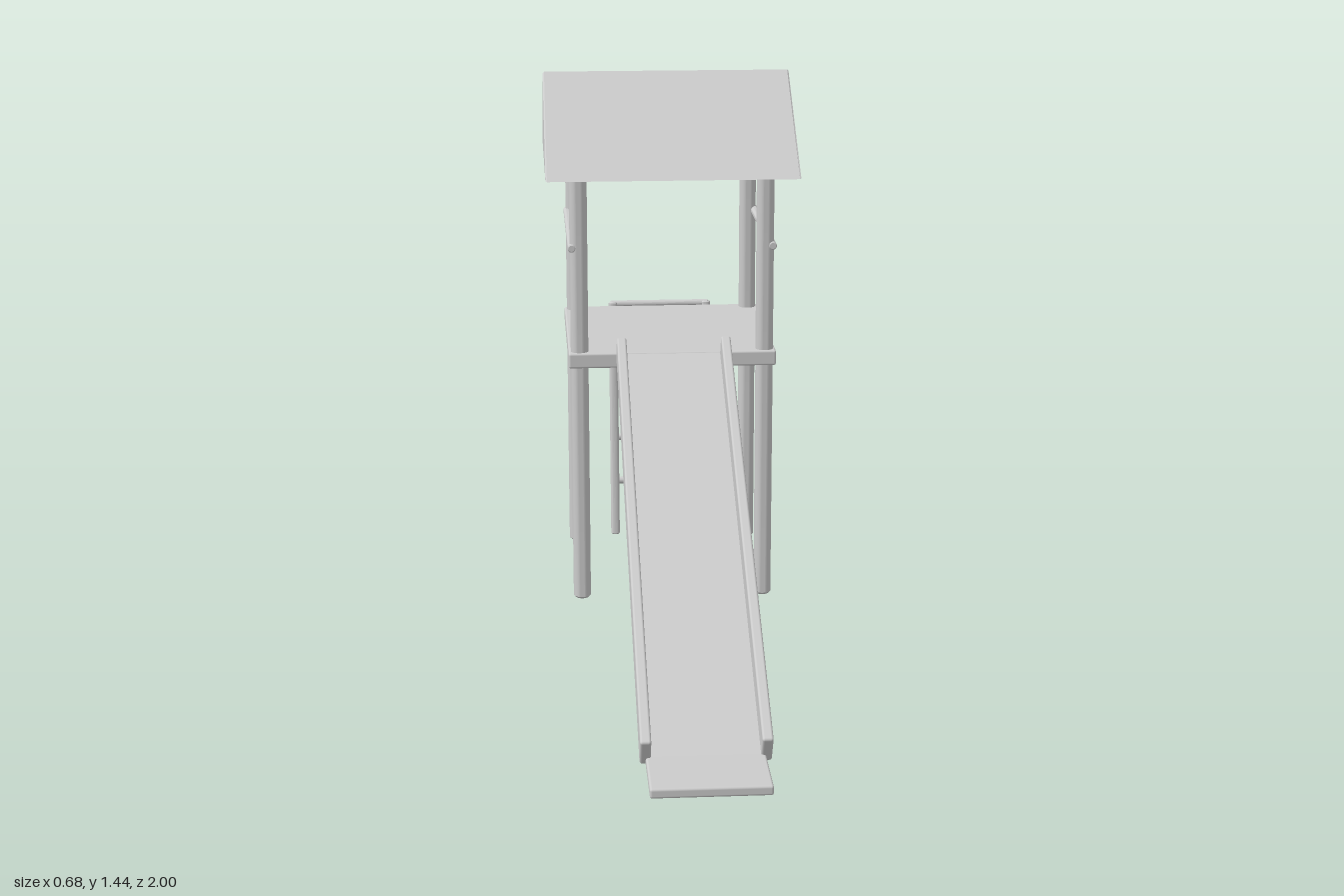
import * as THREE from 'three';
import { toCreasedNormals } from 'three/addons/utils/BufferGeometryUtils.js';
import { RoundedBoxGeometry } from 'three/addons/geometries/RoundedBoxGeometry.js';

const TOWER_Z = -0.645; // centre of the tower
const POST = 0.253; // post offset from the tower centre

export function createModel() {
  const model = new THREE.Group();
  model.name = 'playgroundSlide';
  const grey = new THREE.MeshStandardMaterial({ color: 0xcccccc });
  grey.name = 'lightGrey';

  const add = (name, geometry, parent = model) => {
    const mesh = new THREE.Mesh(geometry, grey);
    mesh.name = name;
    parent.add(mesh);
    return mesh;
  };

  // Softly bevelled board
  const board = (name, size, position, parent) => {
    const mesh = add(name, new RoundedBoxGeometry(...size, 2, 0.006), parent);
    mesh.position.set(...position);
    return mesh;
  };

  // Round bar with chamfered ends, running from point a to point b
  const bar = (name, a, b, r, parent) => {
    const start = new THREE.Vector3(...a);
    const dir = new THREE.Vector3(...b).sub(start);
    const len = dir.length();
    const c = r * 0.25;
    const profile = [[0, 0], [r - c, 0], [r, c], [r, len - c], [r - c, len], [0, len]]
      .map(([x, y]) => new THREE.Vector2(x, y));
    const mesh = add(name, toCreasedNormals(new THREE.LatheGeometry(profile, 24), 0.6), parent);
    mesh.position.copy(start);
    mesh.quaternion.setFromUnitVectors(new THREE.Vector3(0, 1, 0), dir.normalize());
    return mesh;
  };

  // Tower: four posts, deck and two side railings
  for (const s of [-1, 1]) {
    const side = s > 0 ? 'left' : 'right';
    for (const [end, dz] of [['Front', POST], ['Back', -POST]]) {
      const z = TOWER_Z + dz;
      bar(side + end + 'Post', [s * POST, 0, z], [s * POST, 1.2, z], 0.024);
    }
    bar(side + 'Railing', [s * 0.272, 1, TOWER_Z - 0.277], [s * 0.272, 1, TOWER_Z + 0.277], 0.011);
  }
  board('deck', [0.567, 0.042, 0.566], [0, 0.689, TOWER_Z]);

  // Gable roof: triangle extruded across the tower
  const gable = new THREE.Shape();
  gable.moveTo(-0.338, 1.193);
  gable.lineTo(0.338, 1.193);
  gable.lineTo(0, 1.44);
  gable.closePath();
  const roofGeometry = new THREE.ExtrudeGeometry(gable, {
    depth: 0.672, bevelThickness: 0.004, bevelSize: 0.003, bevelOffset: -0.003, bevelSegments: 1,
  });
  roofGeometry.translate(0, 0, -0.336);
  roofGeometry.rotateY(Math.PI / 2);
  add('roof', roofGeometry).position.z = TOWER_Z;

  // Chute: local z runs down the slope, local y = 0 is its underside
  const chute = new THREE.Group();
  chute.name = 'chute';
  const length = 1.354;
  chute.position.set(0, 0.3625, 0.228);
  chute.rotation.x = Math.atan2(0.665, 1.18);
  model.add(chute);
  board('chuteBed', [0.28, 0.02, length], [0, 0.01, 0], chute);
  for (const s of [-1, 1]) {
    board(s > 0 ? 'leftChuteWall' : 'rightChuteWall', [0.026, 0.08, length], [s * 0.141, 0.04, 0], chute);
  }
  board('landingPlate', [0.28, 0.024, 0.22], [0, 0.039, 0.89]);

  // Ladder: leaning rails with rungs hung straight below the top
  const ladder = new THREE.Group();
  ladder.name = 'ladder';
  model.add(ladder);
  for (const s of [-1, 1]) {
    bar(s > 0 ? 'leftLadderRail' : 'rightLadderRail', [s * 0.138, 0.002, -0.926], [s * 0.138, 0.708, -0.986], 0.013, ladder);
  }
  for (let i = 0; i < 5; i++) {
    const y = 0.151 + i * 0.1375;
    bar('rung' + (i + 1), [-0.145, y, -0.989], [0.145, y, -0.989], 0.01, ladder);
  }
  return model;
}
